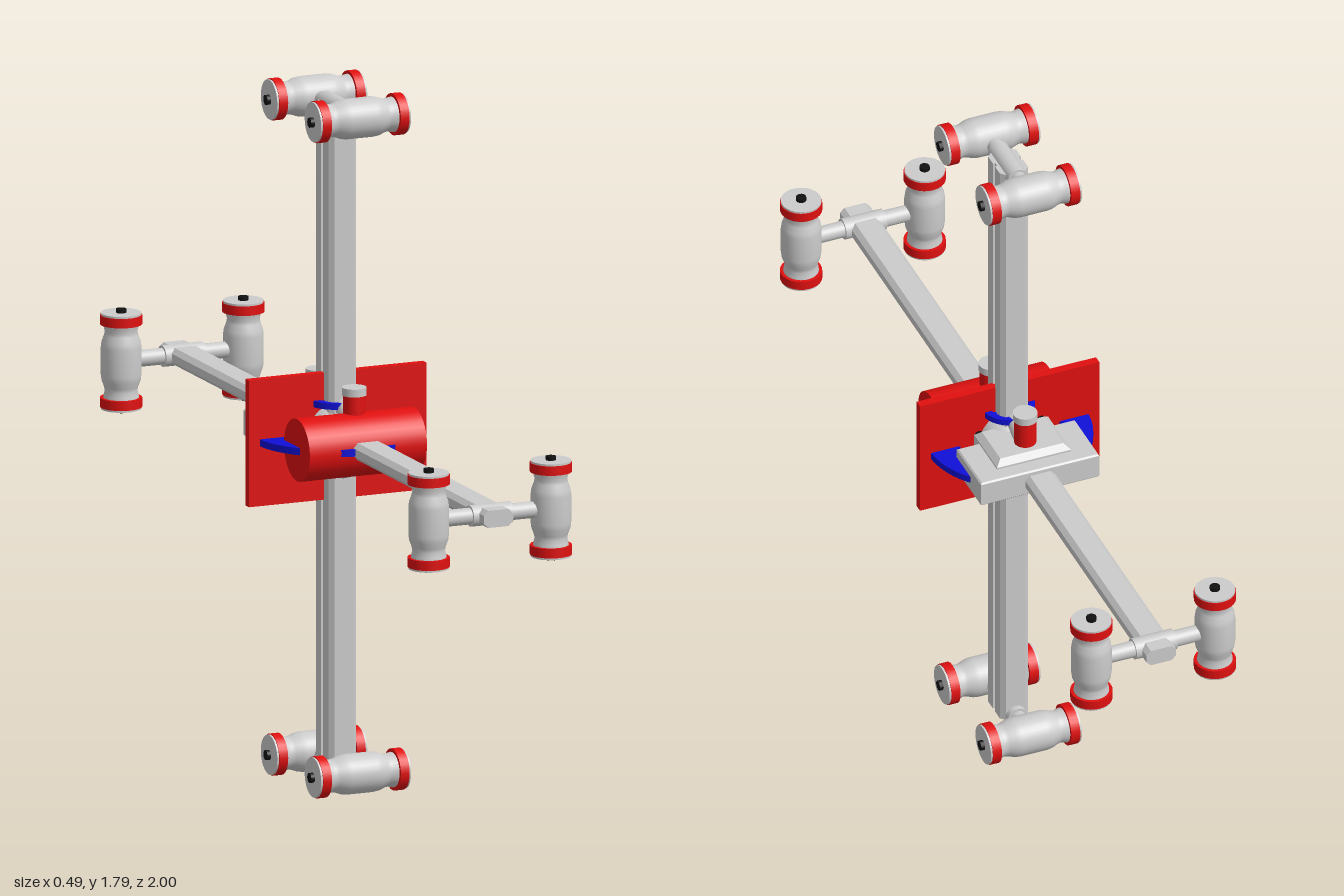
import * as THREE from 'three';
import { toCreasedNormals } from 'three/addons/utils/BufferGeometryUtils.js';

const mat = (color) => new THREE.MeshStandardMaterial({ color, side: THREE.DoubleSide });
const GREY = mat(0xcccccc), RED = mat(0xe01010), BLUE = mat(0x1010d8), BLACK = mat(0x111111);
const CY = 0.895; // height of the hub centre

function add(parent, name, geo, material, x = 0, y = 0, z = 0) {
  const m = new THREE.Mesh(geo, material);
  m.name = name;
  m.position.set(x, y, z);
  parent.add(m);
  return m;
}
const cyl = (r, h, n = 28) => new THREE.CylinderGeometry(r, r, h, n);

// Box with chamfered rims, extruded along y and centred
function tier(w, h, d, bevel) {
  const s = new THREE.Shape();
  const a = w / 2 - bevel, b = d / 2 - bevel;
  s.moveTo(-a, -b).lineTo(a, -b).lineTo(a, b).lineTo(-a, b).closePath();
  const g = new THREE.ExtrudeGeometry(s, { depth: h - 2 * bevel, bevelSize: bevel, bevelThickness: bevel, bevelSegments: 1 });
  return g.translate(0, 0, -(h / 2 - bevel)).rotateX(-Math.PI / 2);
}

// Long beam along y with chamfered corners and an optional shallow groove on its sides
function beam(hx, hz, length, groove) {
  const c = 0.012, q = 0.006;
  const half = [[hx, -hz + c], [hx, -q], [hx - groove, -q], [hx - groove, q], [hx, q], [hx, hz - c], [hx - c, hz]];
  const pts = [[hx - c, -hz], ...half, ...half.slice().reverse().map(([x, z]) => [-x, z]), [-hx + c, -hz]];
  const s = new THREE.Shape(pts.map(([x, z]) => new THREE.Vector2(x, z)));
  const g = new THREE.ExtrudeGeometry(s, { depth: length, bevelEnabled: false });
  return g.translate(0, 0, -length / 2).rotateX(-Math.PI / 2);
}

// Barrel pod along y: waisted body, red bands, grey end discs, black nubs
function pod() {
  const g = new THREE.Group();
  g.name = 'pod';
  const half = [[0.051, 0], [0.051, 0.035], [0.049, 0.05], [0.043, 0.066], [0.041, 0.076], [0.044, 0.088], [0.045, 0.096]];
  const profile = [...half.slice(1).reverse().map(([r, y]) => [r, -y]), ...half].map(([r, y]) => new THREE.Vector2(r, y));
  add(g, 'podBody', new THREE.LatheGeometry(profile, 32), GREY);
  for (const s of [-1, 1]) {
    add(g, 'podBand', cyl(0.053, 0.024), RED, 0, s * 0.106, 0);
    add(g, 'podEndDisc', cyl(0.051, 0.006), GREY, 0, s * 0.12, 0);
    add(g, 'podNub', cyl(0.013, 0.014, 12), BLACK, 0, s * 0.126, 0);
  }
  return g;
}

// Beam along y with a crossbar along z and a pair of pods at each end
function arm(name, hx, hz, length, crossAt, reach, groove) {
  const g = new THREE.Group();
  g.name = name;
  add(g, 'beam', beam(hx, hz, length, groove), GREY);
  for (const end of [-1, 1]) {
    add(g, 'crossbar', cyl(0.021, 2 * reach), GREY, 0, end * crossAt, 0).rotation.x = Math.PI / 2;
    add(g, 'crossbarSleeve', cyl(0.027, 2 * hz + 0.03), GREY, 0, end * crossAt, 0).rotation.x = Math.PI / 2;
    for (const side of [-1, 1]) {
      const p = pod();
      p.rotation.z = Math.PI / 2;
      p.position.set(0, end * crossAt, side * reach);
      g.add(p);
    }
  }
  return g;
}

// Flat ring with inward pointing teeth, lying in the xz plane
function toothedRing(outer, inner, tip, teeth, h) {
  const s = new THREE.Shape().absarc(0, 0, outer, 0, Math.PI * 2, false);
  const pts = [];
  for (let i = 0; i < teeth * 2; i++) {
    const a = -i * Math.PI / teeth, r = i % 2 ? tip : inner;
    pts.push(new THREE.Vector2(r * Math.cos(a), r * Math.sin(a)));
  }
  s.holes.push(new THREE.Path(pts));
  const g = new THREE.ExtrudeGeometry(s, { depth: h, bevelEnabled: false, curveSegments: 32 });
  return toCreasedNormals(g.translate(0, 0, -h / 2).rotateX(-Math.PI / 2), 0.5);
}

export function createModel() {
  const root = new THREE.Group();
  root.name = 'spaceStation';
  const hub = new THREE.Group();
  hub.name = 'hub';
  hub.position.y = CY;
  root.add(hub);

  // Two crossing arms
  hub.add(arm('verticalArm', 0.038, 0.05, 1.7, 0.841, 0.135, 0.006));
  const fore = arm('foreAftArm', 0.022, 0.04, 2, 0.947, 0.167, 0);
  fore.quaternion.setFromRotationMatrix(new THREE.Matrix4().makeBasis(
    new THREE.Vector3(0, 1, 0), new THREE.Vector3(0, 0, 1), new THREE.Vector3(1, 0, 0)));
  hub.add(fore);

  // Upright panel and front tank
  add(hub, 'panel', new THREE.BoxGeometry(0.485, 0.325, 0.022), RED);
  add(hub, 'frontTank', cyl(0.08, 0.32, 32), RED, 0, 0, 0.12).rotation.z = Math.PI / 2;

  // Stepped rear housing
  add(hub, 'rearHousing', tier(0.32, 0.07, 0.16, 0.004), GREY, 0, 0, -0.13);
  add(hub, 'rearHousingStep', tier(0.2, 0.11, 0.15, 0.015), GREY, 0, 0, -0.095);

  // Core ball and toothed rings
  add(hub, 'core', new THREE.SphereGeometry(0.085, 32, 20), GREY);
  add(hub, 'mainRing', toothedRing(0.213, 0.165, 0.135, 32, 0.018), BLUE);
  for (const s of [-1, 1]) {
    add(hub, 'smallRing', toothedRing(0.068, 0.052, 0.045, 20, 0.016), BLUE, 0, s * 0.086, 0);

    // Black clamps either side of the core
    const clamp = add(hub, 'clamp', new THREE.TorusGeometry(0.085, 0.011, 10, 16, 1.6), BLACK, 0, 0.03, 0);
    clamp.rotation.set(Math.PI / 2, 0, s > 0 ? -0.8 : Math.PI - 0.8);

    // Curved pipes linking tank and housing over and under the core
    const path = new THREE.CatmullRomCurve3([[-0.11, 0.04], [-0.06, 0.075], [0, 0.085], [0.06, 0.075], [0.11, 0.04]]
      .map(([z, y]) => new THREE.Vector3(0, s * y, z)));
    add(hub, 'linkPipe', new THREE.TubeGeometry(path, 24, 0.024, 14), GREY);

    // Capped stacks on top
    add(hub, 'stack', cyl(0.028, 0.07), RED, 0, 0.09, s * 0.112);
    add(hub, 'stackCap', cyl(0.031, 0.02), GREY, 0, 0.135, s * 0.112);
  }
  return root;
}
